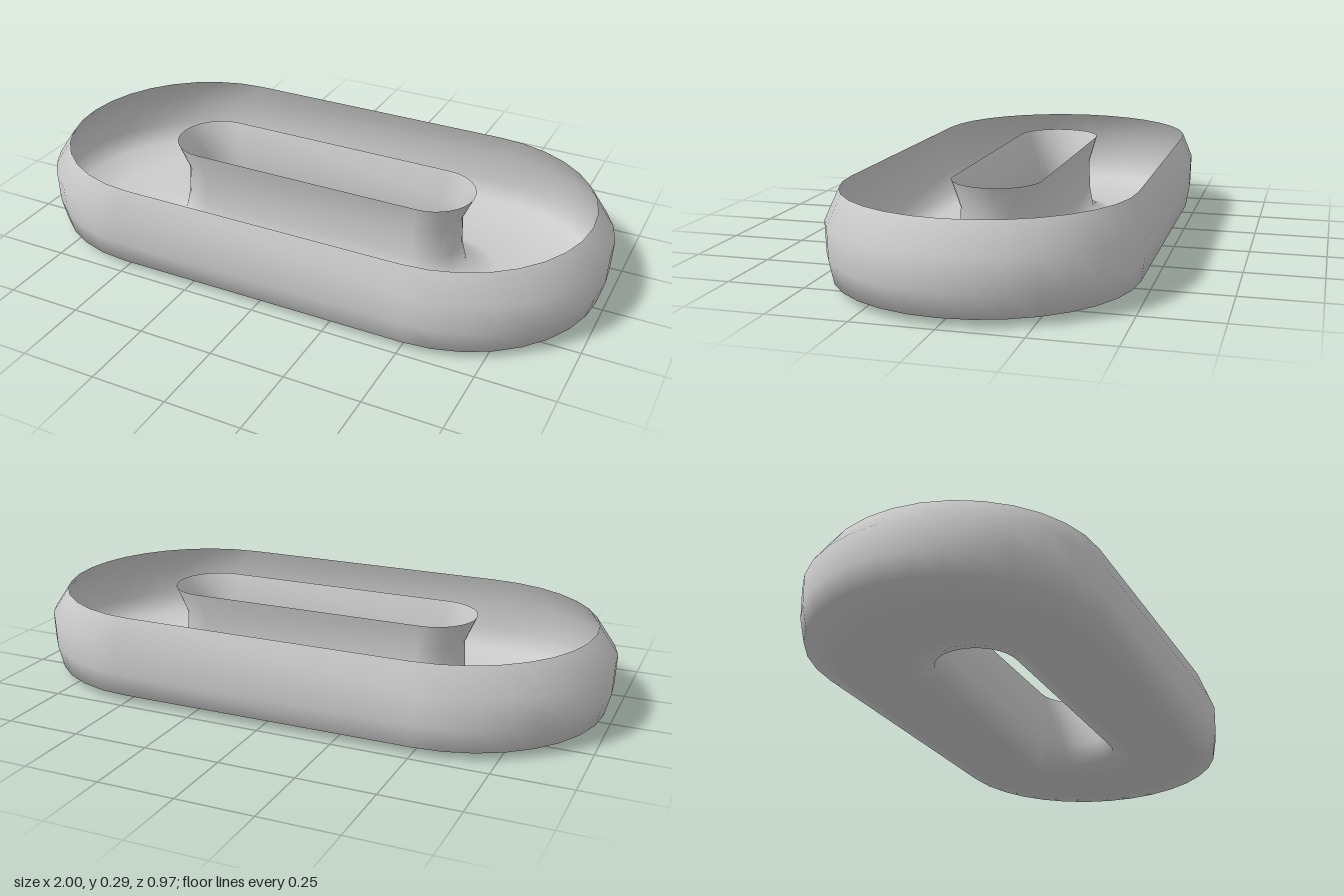
import * as THREE from 'three';

// Stadium outlines of the channel, from outer rim, under the base, to inner rim:
// [half length x, half width z, height y]
const RINGS = [
  [0.936, 0.454, 0.29],
  [1.0, 0.485, 0.2],
  [0.996, 0.483, 0.1],
  [0.977, 0.472, 0.025],
  [0.846, 0.41, 0.003],
  [0.735, 0.30, 0],
  [0.63, 0.195, 0.003],
  [0.53, 0.135, 0.025],
  [0.512, 0.122, 0.1],
  [0.508, 0.12, 0.2],
  [0.548, 0.143, 0.29],
];
const END_SEGMENTS = 16;

// Points around one outline: two half-circle ends joined by straight sides
function stadium([halfX, halfZ, y]) {
  const points = [];
  for (const side of [1, -1]) {
    for (let i = 0; i <= END_SEGMENTS; i++) {
      const a = -Math.PI / 2 + (Math.PI * i) / END_SEGMENTS;
      points.push(side * (halfX - halfZ + halfZ * Math.cos(a)), y, side * halfZ * Math.sin(a));
    }
  }
  return points;
}

// Skin the outlines into one smooth open shell
function loft(rings) {
  const n = 2 * (END_SEGMENTS + 1);
  const index = [];
  for (let r = 0; r < rings.length - 1; r++) {
    for (let i = 0; i < n; i++) {
      const j = (i + 1) % n;
      const a = r * n + i, b = r * n + j, c = a + n, d = b + n;
      index.push(a, b, c, b, d, c);
    }
  }
  const geometry = new THREE.BufferGeometry();
  geometry.setAttribute('position', new THREE.Float32BufferAttribute(rings.flatMap(stadium), 3));
  geometry.setIndex(index);
  geometry.computeVertexNormals();
  return geometry;
}

export function createModel() {
  const group = new THREE.Group();
  group.name = 'ovalRingTray';
  const material = new THREE.MeshStandardMaterial({ color: 0xcccccc, side: THREE.DoubleSide });
  const channel = new THREE.Mesh(loft(RINGS), material);
  channel.name = 'openChannel';
  group.add(channel);
  return group;
}
